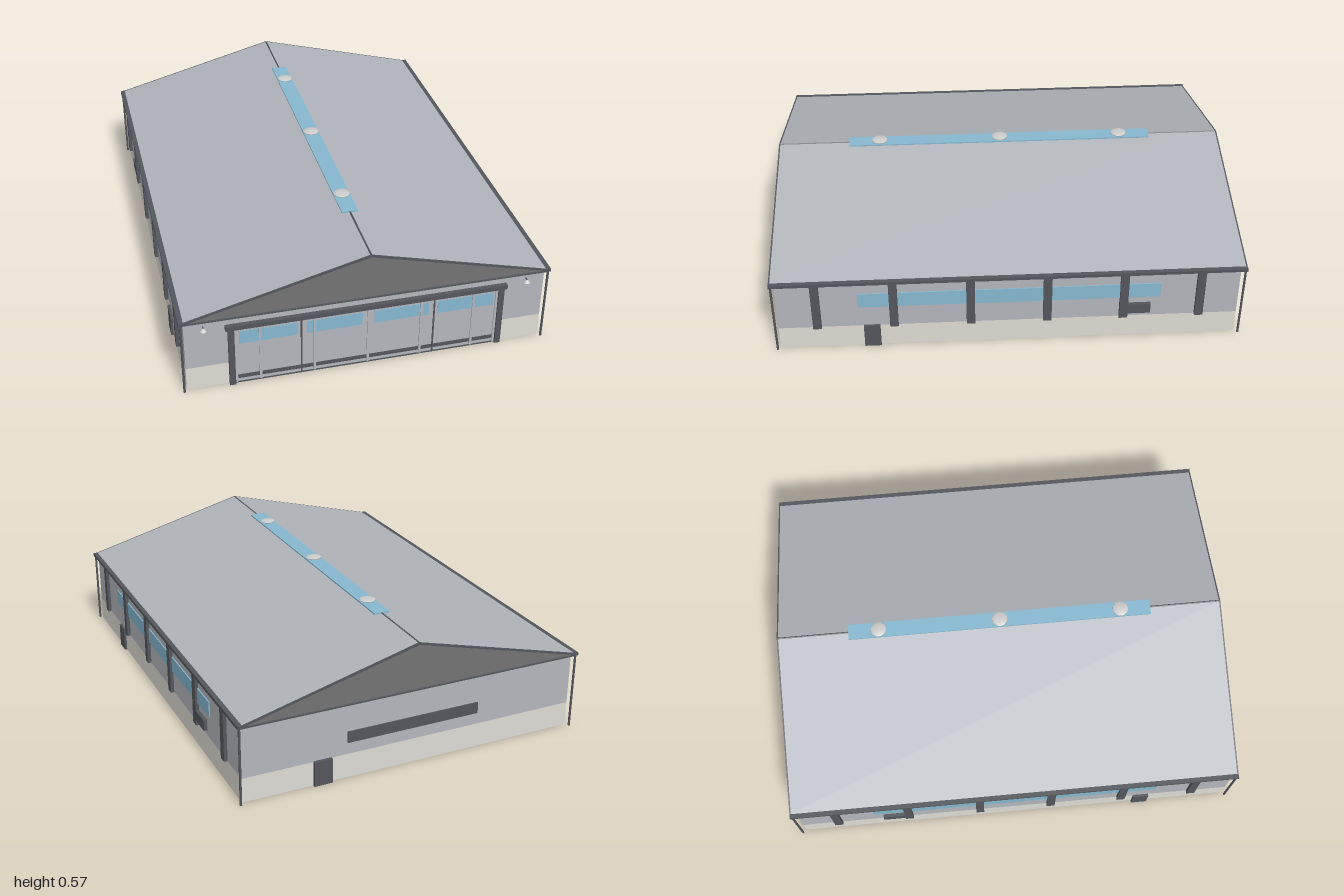
import * as THREE from 'three';

const mat = (color) => new THREE.MeshStandardMaterial({ color });

export function createModel() {
  const group = new THREE.Group();
  group.name = 'hall';
  const wall = mat(0xb4b6bc), plinth = mat(0xdedcd4), dark = mat(0x53565c);
  const gable = mat(0x737373), glass = mat(0x86b8d0), roofMat = mat(0xb0b4ba), pale = mat(0xcccccc);

  const add = (name, geometry, material, x = 0, y = 0, z = 0) => {
    const mesh = new THREE.Mesh(geometry, material);
    mesh.name = name;
    mesh.position.set(x, y, z);
    group.add(mesh);
    return mesh;
  };
  // Box given by its limits on each axis
  const box = (name, material, x0, x1, y0, y1, z0, z1) =>
    add(name, new THREE.BoxGeometry(Math.abs(x1 - x0), y1 - y0, z1 - z0), material,
      (x0 + x1) / 2, (y0 + y1) / 2, (z0 + z1) / 2);
  // Outline in x and y extruded along z, centred
  const prism = (name, material, points, length, z = 0) => {
    const shape = new THREE.Shape(points.map(([x, y]) => new THREE.Vector2(x, y)));
    const geo = new THREE.ExtrudeGeometry(shape, { depth: length, bevelEnabled: false });
    return add(name, geo, material, 0, 0, z - length / 2);
  };

  // Body
  box('plinth', plinth, -0.755, 0.755, 0, 0.107, -0.976, 0.98);
  box('walls', wall, -0.755, 0.755, 0.107, 0.34, -0.976, 0.98);

  // Roof: solid gable, covering and dark edge trims
  prism('gable', gable, [[-0.755, 0.34], [0.755, 0.34], [0.74, 0.352], [0, 0.545], [-0.74, 0.352]], 1.988);
  const chevron = [[-0.755, 0.344], [0, 0.54], [0.755, 0.344], [0.755, 0.352], [0, 0.55], [-0.755, 0.352]];
  prism('roofCovering', roofMat, chevron, 1.988);
  for (const z of [-0.997, 0.997]) {
    prism('roofEdge', dark, chevron, 0.006, z);
    box('gableTrim', dark, -0.755, 0.755, 0.338, 0.344, z - 0.003, z + 0.003);
  }
  prism('ridgeCap', dark, [[-0.008, 0.546], [0.008, 0.546], [0, 0.552]], 1.99);

  // Ridge skylight with domed vents
  box('skylight', glass, -0.035, 0.035, 0.547, 0.553, -0.68, 0.68);
  const dome = new THREE.LatheGeometry([[0.022, 0], [0.022, 0.004], [0.035, 0.005], [0.034, 0.008],
    [0.024, 0.011], [0.012, 0.013], [0, 0.0135]].map(([r, y]) => new THREE.Vector2(r, y)), 24);
  for (const z of [-0.545, 0, 0.545]) add('roofVent', dome, pale, 0, 0.552, z);

  // Both long sides
  for (const s of [1, -1]) {
    box('gutter', dark, s * 0.74, s * 0.775, 0.338, 0.352, -1, 1);
    for (let i = 0; i < 6; i++) {
      const z = 0.815 - i * 0.325;
      box('pilaster', dark, s * 0.75, s * 0.77, 0.107, 0.34, z - 0.018, z + 0.018);
    }
    box('sideWindow', glass, s * 0.75, s * 0.76, 0.21, 0.28, -0.64, 0.64);
    box('sideDoor', dark, s * 0.75, s * 0.766, 0, 0.11, 0.55, 0.62);
    box('wallUnit', dark, s * 0.75, s * 0.77, 0.13, 0.178, -0.6, -0.5);
    for (const z of [-0.992, 0.992])
      add('downpipe', new THREE.CylinderGeometry(0.005, 0.005, 0.34, 10), dark, s * 0.766, 0.17, z);

    // Lamp on the front wall
    add('lampShade', new THREE.CylinderGeometry(0.004, 0.014, 0.012, 16), pale, s * 0.677, 0.3, 0.991);
    box('lampArm', dark, s * 0.675, s * 0.679, 0.305, 0.31, 0.979, 0.993);

    // Door jamb
    box('doorJamb', dark, s * 0.555, s * 0.58, 0, 0.285, 0.97, 0.996);
  }

  // Large front door
  box('doorHeader', dark, -0.59, 0.59, 0.28, 0.3, 0.97, 1);
  box('doorTrack', dark, -0.555, 0.555, 0.272, 0.28, 0.97, 0.99);
  box('doorPanels', wall, -0.555, 0.555, 0.006, 0.272, 0.97, 0.984);
  box('doorSill', dark, -0.555, 0.555, 0, 0.006, 0.97, 0.986);
  box('kickRail', dark, -0.55, 0.55, 0.022, 0.04, 0.97, 0.986);
  for (const s of [1, -1]) {
    box('doorWindow', glass, s * 0.295, s * 0.535, 0.2, 0.26, 0.97, 0.986);
    box('doorWindow', glass, s * 0.025, s * 0.257, 0.2, 0.26, 0.97, 0.986);
    box('panelJoint', dark, s * 0.277, s * 0.283, 0.006, 0.275, 0.97, 0.988);
  }
  for (const x of [-0.55, -0.45, -0.225, 0, 0.225, 0.45, 0.55])
    box('doorMullion', wall, x - 0.005, x + 0.005, 0.006, 0.274, 0.97, 0.989);

  // Back wall
  box('backDoor', dark, 0.37, 0.45, 0, 0.11, -0.99, -0.97);
  box('backWindow', dark, -0.3, 0.3, 0.16, 0.21, -0.982, -0.97);

  return group;
}
